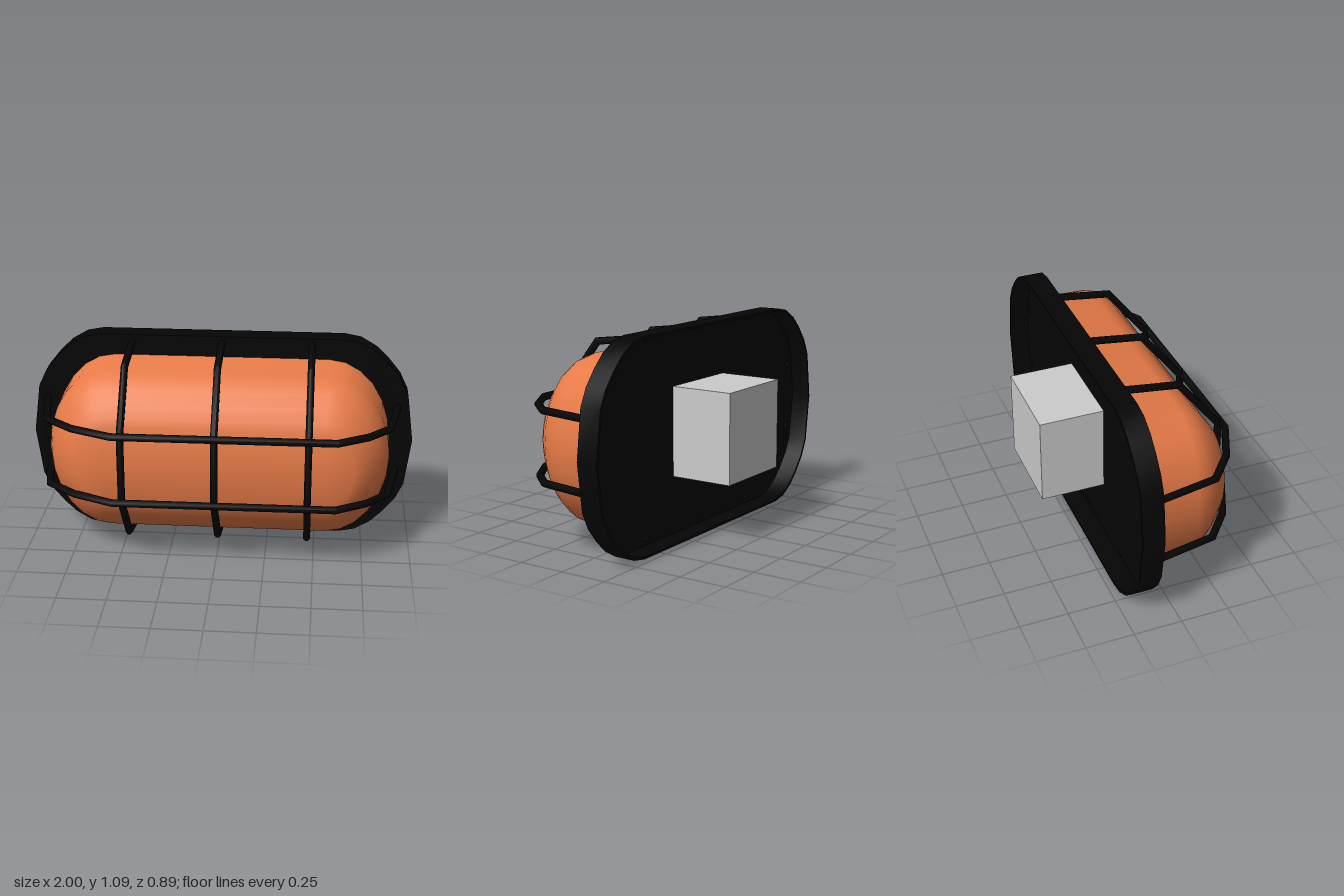
import * as THREE from 'three';
import { toCreasedNormals } from 'three/addons/utils/BufferGeometryUtils.js';

const MID = 0.543; // height of the lamp's centre line
const black = new THREE.MeshStandardMaterial({ color: 0x050505 });
const orange = new THREE.MeshStandardMaterial({ color: 0xe87b48 });
const grey = new THREE.MeshStandardMaterial({ color: 0xcccccc });

function add(group, name, geometry, material) {
  const mesh = new THREE.Mesh(geometry, material);
  mesh.name = name;
  group.add(mesh);
  return mesh;
}

function indexed(positions, index) {
  const g = new THREE.BufferGeometry();
  g.setAttribute('position', new THREE.Float32BufferAttribute(positions, 3));
  g.setIndex(index);
  return g;
}

// Round bar with mitred bends along a planar path; binormal is the plane's normal
function barGeometry(points, binormal, radius, sides = 8) {
  const pos = [], index = [], n = points.length;
  points.forEach((p, i) => {
    const a = points[Math.max(i - 1, 0)], b = points[Math.min(i + 1, n - 1)];
    const dirIn = (i ? p.clone().sub(a) : b.clone().sub(p)).normalize();
    const dirOut = (i < n - 1 ? b.clone().sub(p) : dirIn.clone()).normalize();
    const tangent = dirIn.clone().add(dirOut).normalize();
    const normal = binormal.clone().cross(tangent);
    const stretch = 1 / tangent.dot(dirIn);
    for (let s = 0; s < sides; s++) {
      const t = (s + 0.5) / sides * Math.PI * 2;
      const v = p.clone().addScaledVector(normal, Math.cos(t) * radius * stretch)
        .addScaledVector(binormal, -Math.sin(t) * radius);
      pos.push(v.x, v.y, v.z);
    }
  });
  for (let i = 0; i < n - 1; i++) for (let s = 0; s < sides; s++) {
    const a = i * sides + s, b = i * sides + (s + 1) % sides;
    index.push(a, b + sides, b, a, a + sides, b + sides);
  }
  const last = (n - 1) * sides;
  for (let s = 1; s < sides - 1; s++) { // end caps
    index.push(0, s, s + 1, last, last + s + 1, last + s);
  }
  return toCreasedNormals(indexed(pos, index), 0.9);
}

// Domed cover: stadium rings [scale, z] shrinking to a ridge line
function coverGeometry() {
  const rings = [[1.005, -0.105], [1, -0.1], [0.983, 0.13], [0.93, 0.185], [0.84, 0.235],
    [0.7, 0.283], [0.56, 0.325], [0.45, 0.342], [0.2, 0.357], [0, 0.364]];
  const half = 12, count = 2 * (half + 1), pos = [], index = [];
  for (const [s, z] of rings) {
    for (const side of [1, -1]) for (let k = 0; k <= half; k++) {
      const t = -Math.PI / 2 + k / half * Math.PI;
      pos.push(side * (0.555 + 0.322 * s * Math.cos(t)), MID + side * 0.435 * s * Math.sin(t), z);
    }
  }
  for (let i = 0; i < rings.length - 1; i++) for (let k = 0; k < count; k++) {
    const a = i * count + k, b = i * count + (k + 1) % count;
    index.push(a, b, b + count);
    if (i < rings.length - 2 || k % (half + 1) === half) index.push(a, b + count, a + count);
  }
  return toCreasedNormals(indexed(pos, index), 0.7);
}

// Stadium outline of the plate, pulled in by an inset
function plateOutline(inset) {
  const quarter = [[1, 0], [0.967, 0.25], [0.925, 0.338], [0.86, 0.418], [0.795, 0.48],
    [0.715, 0.527], [0.63, 0.543]];
  const right = [...quarter.slice(1).reverse().map(([x, y]) => [x, -y]), ...quarter];
  const outline = [...right, ...right.map(([x, y]) => [-x, -y])];
  return outline.map(([x, y]) =>
    new THREE.Vector2(x * (1 - inset), y * (1 - inset / 0.543) + MID));
}

function slab(shape, back, front) {
  const g = new THREE.ExtrudeGeometry(shape, { depth: front - back, bevelEnabled: false });
  return toCreasedNormals(g.translate(0, 0, back), 0.5);
}

export function createModel() {
  const model = new THREE.Group();
  model.name = 'bulkheadLamp';

  // Tray-like back plate: a thin rim, open at the back, with a floor at the front
  const rim = new THREE.Shape(plateOutline(0));
  rim.holes.push(new THREE.Path(plateOutline(0.012)));
  add(model, 'plateRim', slab(rim, -0.213, -0.1), black);
  add(model, 'plateFloor', slab(new THREE.Shape(plateOutline(0.01)), -0.11, -0.1), black);

  add(model, 'cover', coverGeometry(), orange);

  // Mounting block, reaching into the plate
  const block = add(model, 'mountingBlock', new THREE.BoxGeometry(0.465, 0.465, 0.34), grey);
  block.position.set(0.003, 0.547, -0.275);

  // Wire cage, its ends just passing through the plate's floor
  const cage = new THREE.Group();
  cage.name = 'cage';
  model.add(cage);

  const upright = [[0.035, -0.113], [0.097, 0.185], [0.365, 0.407],
    [0.73, 0.407], [1.012, 0.185], [1.052, -0.113]];
  for (const x of [-0.465, 0, 0.465]) {
    const path = upright.map(([y, z]) => new THREE.Vector3(x, y, z));
    add(cage, 'uprightBar', barGeometry(path, new THREE.Vector3(1, 0, 0), 0.019), black);
  }

  const crosswise = [[-0.925, -0.113], [-0.868, 0.207], [-0.72, 0.332],
    [-0.51, 0.425], [0.605, 0.42], [0.758, 0.327], [0.867, 0.207], [0.92, -0.113]];
  for (const y of [0.37, 0.728]) {
    const path = crosswise.map(([x, z]) => new THREE.Vector3(x, y, z));
    add(cage, 'crossBar', barGeometry(path, new THREE.Vector3(0, 1, 0), 0.019), black);
  }

  return model;
}
